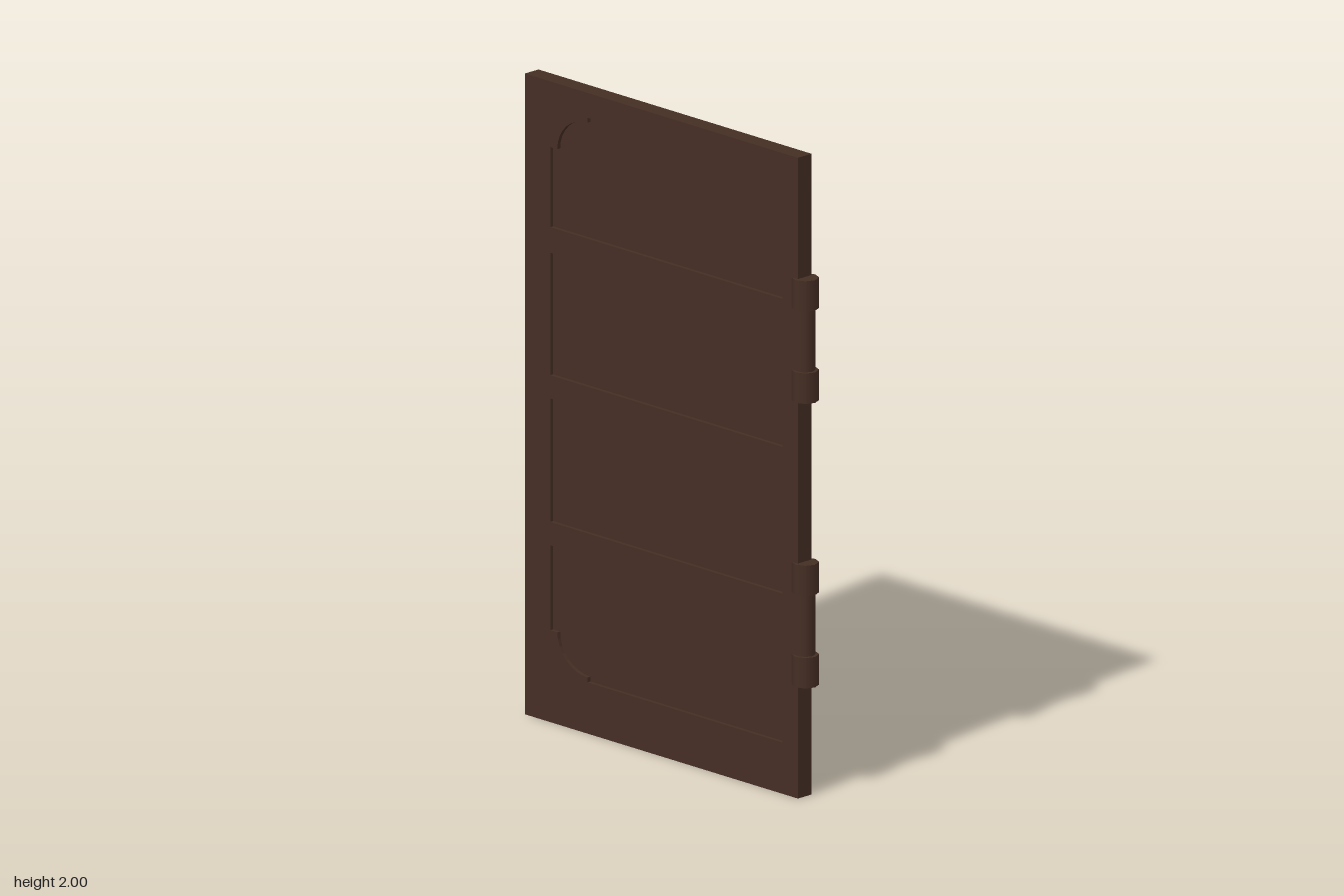
import * as THREE from 'three';

const Z_BACK = -0.022, Z_FRONT = 0.035, RECESS = 0.012;
const L = -0.495, R = 0.49;

// Rectangle outline
function rect(shape, x0, y0, x1, y1) {
  shape.moveTo(x0, y0);
  shape.lineTo(x1, y0);
  shape.lineTo(x1, y1);
  shape.lineTo(x0, y1);
  shape.closePath();
  return shape;
}

// Panel outline with one stepped, rounded corner; yStraight is the plain edge, yCut the edge with the corner
function cutPanel(yStraight, yCut) {
  const s = Math.sign(yCut - yStraight);
  const pts = [[L, yStraight], [R, yStraight], [R, yCut], [-0.337, yCut]];
  for (let i = 0; i <= 8; i++) {
    const a = (i / 8) * Math.PI / 2;
    pts.push([-0.337 - 0.128 * Math.sin(a), yCut - s * (0.127 - 0.112 * Math.cos(a))]);
  }
  pts.push([L, yCut - s * 0.127]);
  return new THREE.Path(pts.map(p => new THREE.Vector2(p[0], p[1])));
}

export function createModel() {
  const group = new THREE.Group();
  const wood = new THREE.MeshStandardMaterial({ color: 0x452e24 });
  wood.name = 'dark brown';
  const add = (name, geometry, x = 0, y = 0, z = 0) => {
    const mesh = new THREE.Mesh(geometry, wood);
    mesh.name = name;
    mesh.position.set(x, y, z);
    group.add(mesh);
    return mesh;
  };

  // Door frame with four panel openings
  const outline = rect(new THREE.Shape(), -0.603, 0, 0.556, 2);
  outline.holes.push(
    cutPanel(1.545, 1.922),
    rect(new THREE.Path(), L, 1.083, R, 1.465),
    rect(new THREE.Path(), L, 0.625, R, 1.01),
    cutPanel(0.552, 0.16)
  );
  add('doorFrame', new THREE.ExtrudeGeometry(outline, { depth: Z_FRONT - Z_BACK, bevelEnabled: false }), 0, 0, Z_BACK);

  // Recessed panels, sunk on both faces
  const thickness = Z_FRONT - Z_BACK - 2 * RECESS;
  const mid = (Z_FRONT + Z_BACK) / 2;
  for (const [y0, y1] of [[1.545, 1.922], [1.083, 1.465], [0.625, 1.01], [0.16, 0.552]]) {
    add('recessedPanel', new THREE.BoxGeometry(R - L + 0.02, y1 - y0 + 0.02, thickness), (L + R) / 2, (y0 + y1) / 2, mid);
  }

  // Two hinges: a pin between two knuckles
  for (const y of [1.43, 0.542]) {
    add('hingePin', new THREE.CylinderGeometry(0.03, 0.03, 0.24, 8), 0.559, y, mid);
    for (const side of [-1, 1]) {
      add('hingeKnuckle', new THREE.CylinderGeometry(0.041, 0.041, 0.095, 8), 0.559, y + side * 0.144, mid);
    }
  }

  // Bowed strap handle on the back, with flat feet
  const outer = [], inner = [];
  const n = 20, yLow = 0.665, yHigh = 0.96;
  for (let i = 0; i <= n; i++) {
    const y = yLow + (yHigh - yLow) * i / n;
    const t = Math.min(1, Math.max(0, (y - 0.70) / 0.225));
    const bow = 0.028 * Math.pow(Math.sin(Math.PI * t), 0.9);
    outer.push(new THREE.Vector2(0.025 + bow, y));
    inner.unshift(new THREE.Vector2(0.009 + bow, y));
  }
  const strap = new THREE.ExtrudeGeometry(new THREE.Shape([...outer, ...inner]), { depth: 0.056, bevelEnabled: false });
  strap.rotateY(Math.PI / 2);
  add('handle', strap, -0.41, 0, 0);

  return group;
}
